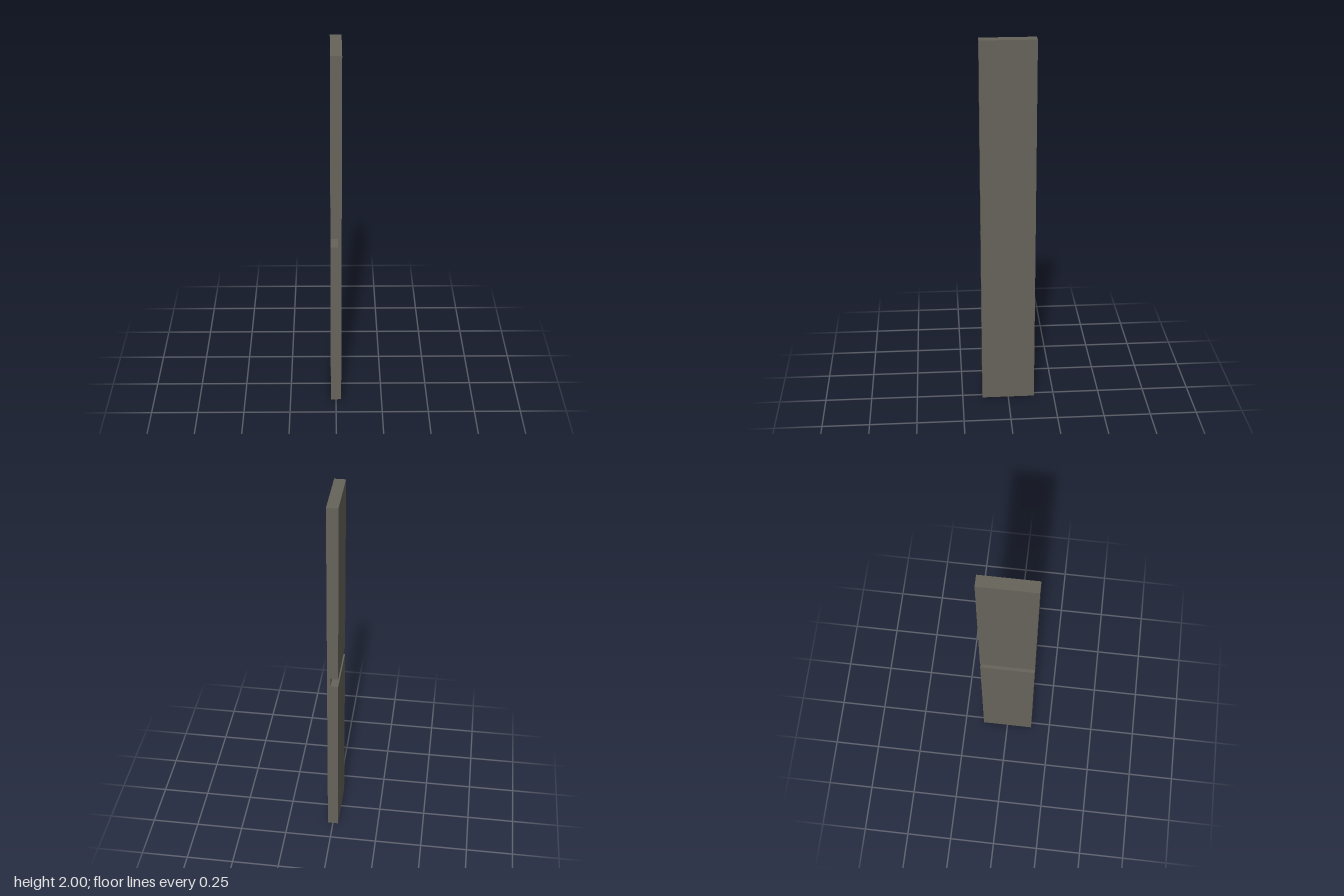
import * as THREE from 'three';

export function createModel() {
  const group = new THREE.Group();
  group.name = 'notchedBoard';

  const halfWidth = 0.0285, height = 2, depth = 0.284;
  const notchFloor = 0.011, notchHalf = 0.024, mid = height / 2;

  // Board outline with a square housing cut across the middle of its right face
  const outline = new THREE.Shape([
    [-halfWidth, 0], [halfWidth, 0], [halfWidth, height], [-halfWidth, height],
    [-halfWidth, mid + notchHalf], [notchFloor, mid + notchHalf],
    [notchFloor, mid - notchHalf], [-halfWidth, mid - notchHalf],
  ].map(([x, y]) => new THREE.Vector2(x, y)));

  const geometry = new THREE.ExtrudeGeometry(outline, { depth, bevelEnabled: false });
  geometry.translate(0, 0, -depth / 2);

  const board = new THREE.Mesh(geometry, new THREE.MeshStandardMaterial({ color: 0x66635a }));
  board.name = 'board';
  group.add(board);
  return group;
}
